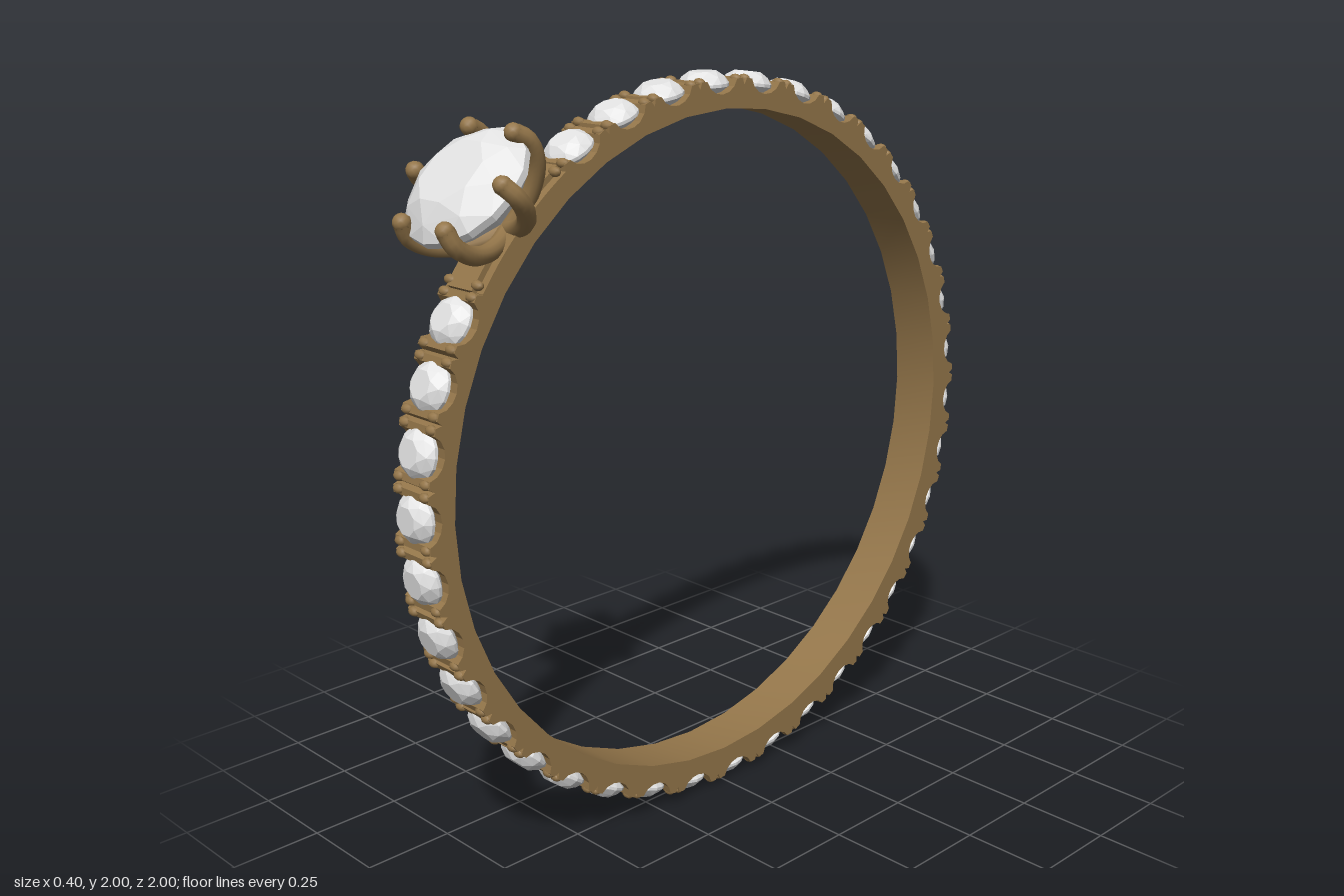
import * as THREE from 'three';
import { toCreasedNormals } from 'three/addons/utils/BufferGeometryUtils.js';
import { ConvexGeometry } from 'three/addons/geometries/ConvexGeometry.js';

const DEG = Math.PI / 180;
const HEAD = 45 * DEG;      // tilt of the main stone from straight up towards +z
const PITCH = 9.4 * DEG;    // angle between small stones
const COUNT = 36;
const HALF_WIDTH = 0.071;

// Faceted round brilliant, girdle at y = 0
function brilliant(radius, crown, pavilion, girdle) {
  const pts = [];
  const ring = (r, y, n, turn) => {
    for (let i = 0; i < n; i++) {
      const a = (i + turn) * 2 * Math.PI / n;
      pts.push(new THREE.Vector3(r * Math.cos(a), y, r * Math.sin(a)));
    }
  };
  ring(radius * 0.55, crown, 8, 0.5);
  ring(radius * 0.82, crown * 0.62, 8, 0);
  ring(radius, girdle / 2, 16, 0);
  ring(radius, -girdle / 2, 16, 0);
  ring(radius * 0.6, -pavilion * 0.55, 8, 0.5);
  pts.push(new THREE.Vector3(0, -pavilion, 0));
  return new ConvexGeometry(pts);
}

// Angle of small stone i, measured from the main stone around the band
const stoneAngle = (i) => Math.PI + (i - (COUNT - 1) / 2) * PITCH;

// Band outline with a scooped seat under each stone and a nick between seats
function bandGeometry() {
  const point = (r, a) => new THREE.Vector2(-r * Math.sin(HEAD + a), r * Math.cos(HEAD + a));
  const seat = [[-4.7, 0.966], [-4.2, 0.983], [-3.1, 0.981], [-2.5, 0.962], [-1.4, 0.949],
    [0, 0.944], [1.4, 0.949], [2.5, 0.962], [3.1, 0.981], [4.2, 0.983]];
  const outer = [];
  for (let i = 0; i < COUNT; i++) {
    for (const [d, r] of seat) outer.push(point(r, stoneAngle(i) + d * DEG));
  }
  for (let d = -10.8; d < 11; d += 2.4) outer.push(point(0.968, d * DEG));
  const shape = new THREE.Shape(outer);
  const inner = [];
  for (let i = 0; i < 40; i++) {
    const p = point(0.9, i * 9 * DEG);
    inner.push(new THREE.Vector2(p.x - 0.008, p.y + 0.008));
  }
  shape.holes.push(new THREE.Path(inner));
  const geo = new THREE.ExtrudeGeometry(shape, { depth: 2 * HALF_WIDTH, bevelEnabled: false });
  geo.translate(0, 0, -HALF_WIDTH);
  geo.rotateY(Math.PI / 2);
  return toCreasedNormals(geo, 0.3);
}

export function createModel() {
  const metal = new THREE.MeshStandardMaterial({ color: 0x94764a });
  metal.name = 'gold';
  const gem = new THREE.MeshStandardMaterial({ color: 0xe2e2e2 });
  gem.name = 'clear stone';

  const model = new THREE.Group();
  model.name = 'ring';
  const ring = new THREE.Group();
  ring.name = 'ringBody';
  ring.position.y = 1;
  model.add(ring);

  const add = (parent, geo, mat, name, x = 0, y = 0, z = 0) => {
    const mesh = new THREE.Mesh(geo, mat);
    mesh.name = name;
    mesh.position.set(x, y, z);
    parent.add(mesh);
    return mesh;
  };
  // Group whose local y axis points outward at the given angle
  const spoke = (angle, name) => {
    const g = new THREE.Group();
    g.name = name;
    g.rotation.x = HEAD + angle;
    ring.add(g);
    return g;
  };

  add(ring, bandGeometry(), metal, 'band');

  // Small stones
  const smallGeo = brilliant(0.067, 0.034, 0.045, 0.008);
  for (let i = 0; i < COUNT; i++) {
    add(spoke(stoneAngle(i), 'bandStone'), smallGeo, gem, 'smallStone', 0, 0.965, 0);
  }

  // Four holding beads in every gap between stones
  const beadGeo = new THREE.SphereGeometry(0.013, 8, 6);
  beadGeo.scale(1.5, 1, 1);
  for (let i = 0; i <= COUNT; i++) {
    for (const side of [-1, 1]) {
      const g = spoke(stoneAngle(i - 0.5) + side * 0.9 * DEG, 'beadPair');
      for (const x of [-0.052, 0.052]) add(g, beadGeo, metal, 'bead', x, 0.979, 0);
    }
  }

  // Plain shoulders beside the main stone
  for (const side of [-1, 1]) {
    add(spoke(side * 8 * DEG, 'shoulder'), new THREE.BoxGeometry(0.095, 0.03, 0.1), metal, 'shoulderPlate', 0, 0.968, 0);
  }

  // Main stone with six curved prongs
  const head = spoke(0, 'head');
  add(head, brilliant(0.172, 0.062, 0.125, 0.018), gem, 'mainStone', 0, 1.105, 0);
  const path = new THREE.CatmullRomCurve3([
    [0.0, 0.945], [0.06, 0.965], [0.125, 1.005], [0.163, 1.05], [0.178, 1.1], [0.165, 1.14],
  ].map(([r, y]) => new THREE.Vector3(r, y, 0)));
  const prongGeo = new THREE.TubeGeometry(path, 20, 0.023, 10);
  const tipGeo = new THREE.SphereGeometry(0.023, 10, 8);
  for (let i = 0; i < 6; i++) {
    const prong = new THREE.Group();
    prong.name = 'prong';
    prong.rotation.y = i * Math.PI / 3;
    add(prong, prongGeo, metal, 'prongArm');
    add(prong, tipGeo, metal, 'prongTip', 0.165, 1.14, 0);
    head.add(prong);
  }
  return model;
}
